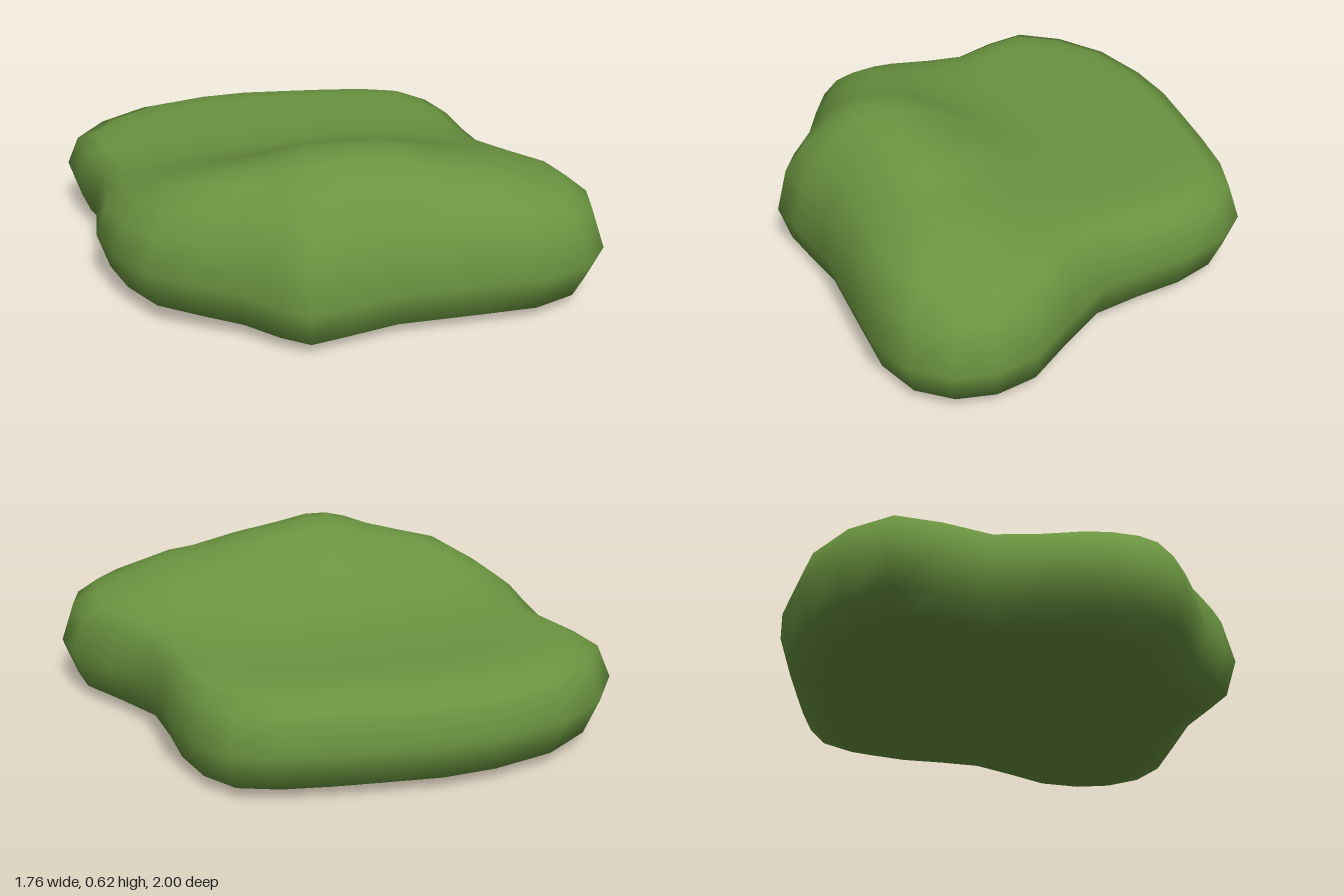
import * as THREE from 'three';
import { mergeVertices } from 'three/addons/utils/BufferGeometryUtils.js';

// Widest outline in plan, as x, z pairs
const OUTLINE = [
  [.88, -.33], [.86, -.15], [.8, .03], [.75, .22], [.78, .43], [.82, .65], [.78, .81], [.69, .93],
  [.55, 1], [.37, .99], [.1, .88], [-.14, .78], [-.35, .74], [-.49, .71], [-.56, .61], [-.63, .47],
  [-.74, .34], [-.85, .2], [-.88, .02], [-.86, -.17], [-.78, -.33], [-.7, -.5], [-.69, -.69], [-.65, -.86],
  [-.48, -.96], [-.25, -1], [0, -.96], [.2, -.89], [.4, -.78], [.56, -.69], [.72, -.59], [.84, -.48],
];

// Crest of the mound: x, z, height above the low plateau
const CREST = [[-.8, .08, 0], [-.54, .24, .17], [-.23, .39, .25], [0, .44, .222], [.25, .57, .155], [.52, .74, .085]];
const PLATEAU = 0.375;
const WAIST = 0.19;

// Height of the rounded ridge that follows the crest
function ridge(x, z) {
  let rise = 0;
  for (let i = 0; i < CREST.length - 1; i++) {
    const [ax, az, ah] = CREST[i], [bx, bz, bh] = CREST[i + 1];
    const dx = bx - ax, dz = bz - az;
    const t = THREE.MathUtils.clamp(((x - ax) * dx + (z - az) * dz) / (dx * dx + dz * dz), 0, 1);
    const d2 = (x - ax - t * dx) ** 2 + (z - az - t * dz) ** 2;
    rise = Math.max(rise, (ah + t * (bh - ah)) * Math.exp(-d2 / 0.16));
  }
  return rise;
}

// The underside and waist lift a little towards the right-hand (-x) end
const lift = (x) => Math.max(0, -x - 0.5) * 0.12;

// Rings from the middle of the underside up to the waist: scale of outline, y
const LOWER = [[0, 0], [.4, 0], [.7, 0], [.83, .01], [.95, .05], [1, WAIST]];
// Rings from the waist to the middle of the top: scale, share of plateau, share of ridge
const UPPER = [
  [.95, .75, .3], [.87, .93, .66], [.77, 1, .9], [.66, 1, 1], [.54, 1, 1],
  [.42, 1, 1], [.28, 1, 1], [.14, 1, 1], [0, 1, 1],
];

function moundGeometry() {
  const n = OUTLINE.length, positions = [], index = [];
  const addRing = (s, height) => OUTLINE.forEach(([ox, oz]) => {
    positions.push(ox * s, height(ox * s, oz * s), oz * s);
  });
  LOWER.forEach(([s, y]) => addRing(s, (x) => y + lift(x)));
  UPPER.forEach(([s, flat, hump]) => addRing(s, (x, z) => WAIST + (PLATEAU - WAIST) * flat + ridge(x, z) * hump));

  // Join neighbouring rings; the first and last shrink to a point
  const bands = LOWER.length + UPPER.length - 1;
  for (let i = 0; i < bands; i++) {
    for (let j = 0; j < n; j++) {
      const a = i * n + j, b = i * n + (j + 1) % n;
      if (i > 0) index.push(a, a + n, b);
      if (i < bands - 1) index.push(b, a + n, b + n);
    }
  }
  let geometry = new THREE.BufferGeometry();
  geometry.setAttribute('position', new THREE.Float32BufferAttribute(positions, 3));
  geometry.setIndex(index);
  geometry = mergeVertices(geometry, 1e-5);
  geometry.computeVertexNormals();
  return geometry;
}

export function createModel() {
  const group = new THREE.Group();
  group.name = 'bush';
  const mound = new THREE.Mesh(moundGeometry(), new THREE.MeshStandardMaterial({ color: 0x6a9440 }));
  mound.name = 'mound';
  group.add(mound);
  return group;
}
